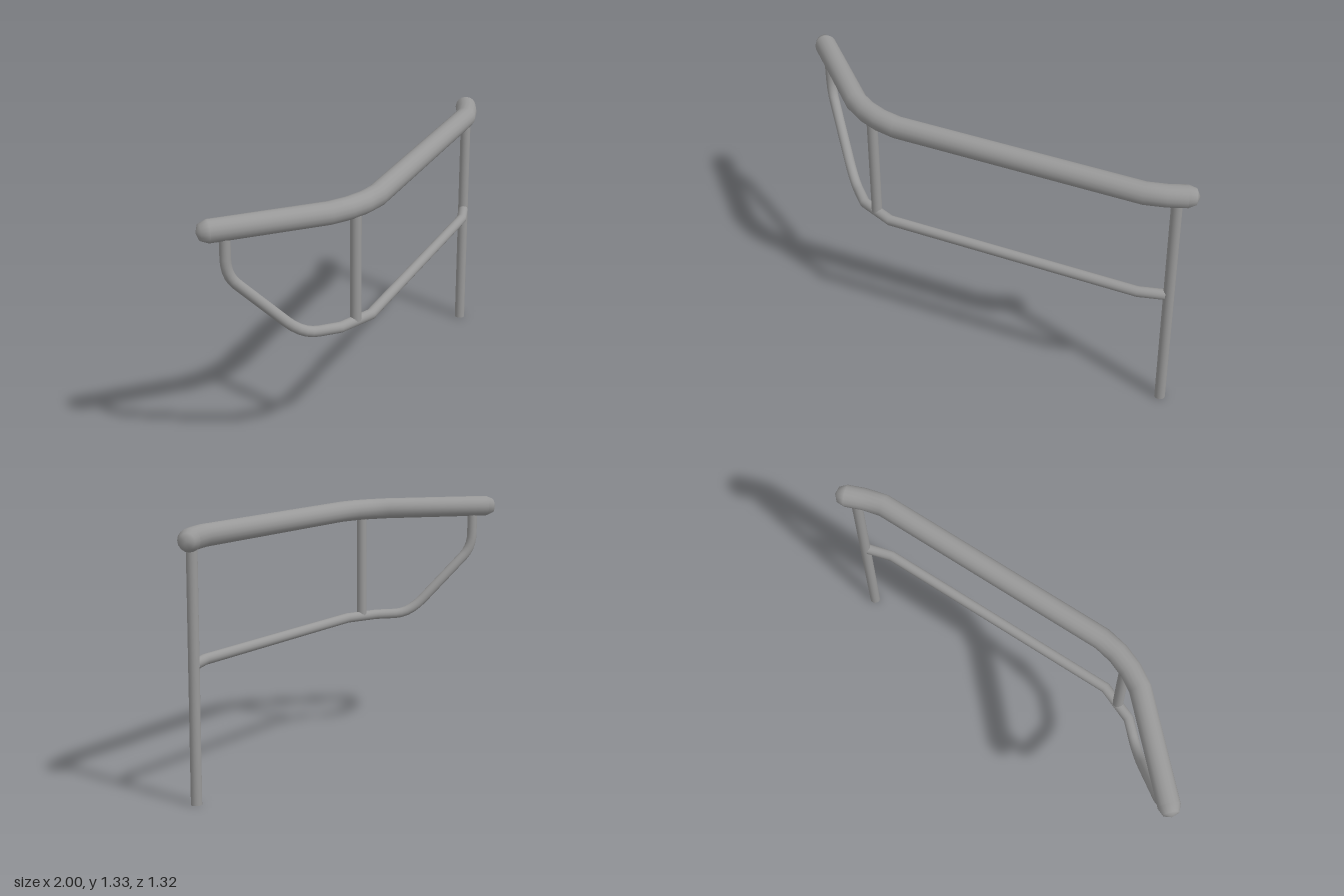
import * as THREE from 'three';

const material = new THREE.MeshStandardMaterial({ color: 0x999999 });
const V = (x, y, z) => new THREE.Vector3(x, y, z);

// Round pipe swept along a polyline, mitred at every bend
function pipe(name, points, radius, sides = 16) {
  const dirs = points.slice(1).map((p, i) => p.clone().sub(points[i]).normalize());
  const helper = Math.abs(dirs[0].y) > 0.9 ? V(1, 0, 0) : V(0, 1, 0);
  const u = helper.cross(dirs[0]).normalize();
  const w = dirs[0].clone().cross(u);
  let ring = [];
  for (let j = 0; j < sides; j++) {
    const a = (j / sides) * Math.PI * 2;
    ring.push(points[0].clone().addScaledVector(u, radius * Math.cos(a)).addScaledVector(w, radius * Math.sin(a)));
  }
  const pos = ring.flatMap((p) => p.toArray());
  const index = [];
  for (let i = 1; i < points.length; i++) {
    // Slide the ring along its segment onto the plane that halves the bend
    const d = dirs[i - 1];
    const n = d.clone().add(dirs[i] ?? d).normalize();
    ring = ring.map((p) => p.clone().addScaledVector(d, points[i].clone().sub(p).dot(n) / d.dot(n)));
    ring.forEach((p) => pos.push(p.x, p.y, p.z));
    for (let j = 0; j < sides; j++) {
      const a = (i - 1) * sides + j, b = (i - 1) * sides + ((j + 1) % sides);
      index.push(a, b, b + sides, a, b + sides, a + sides);
    }
  }
  const geometry = new THREE.BufferGeometry();
  geometry.setAttribute('position', new THREE.Float32BufferAttribute(pos, 3));
  geometry.setIndex(index);
  geometry.computeVertexNormals();
  const mesh = new THREE.Mesh(geometry, material);
  mesh.name = name;
  return mesh;
}

// Coarse dome closing a pipe at point p, facing away from point inner
function dome(name, p, inner, radius) {
  const mesh = new THREE.Mesh(new THREE.SphereGeometry(radius, 16, 2, 0, Math.PI * 2, 0, Math.PI / 2), material);
  mesh.position.copy(p);
  mesh.quaternion.setFromUnitVectors(V(0, 1, 0), p.clone().sub(inner).normalize());
  mesh.name = name;
  return mesh;
}

function post(name, x, z, bottom, top, radius) {
  const mesh = new THREE.Mesh(new THREE.CylinderGeometry(radius, radius, top - bottom, 16), material);
  mesh.position.set(x, (bottom + top) / 2, z);
  mesh.name = name;
  return mesh;
}

export function createModel() {
  const group = new THREE.Group();
  group.name = 'handrail';

  // Thick top rail: straight, 45 degree run, then a slight turn at the end
  const railY = 1.278, railR = 0.056;
  const railPath = [
    [-0.945, 0.606], [-0.355, 0.606], [-0.25, 0.583], [-0.155, 0.543], [-0.065, 0.484],
    [0.853, -0.432], [0.908, -0.523], [0.945, -0.61],
  ].map(([x, z]) => V(x, railY, z));
  group.add(pipe('topRail', railPath, railR));
  group.add(dome('railEndRight', railPath[0], railPath[1], railR));
  group.add(dome('railEndLeft', railPath.at(-1), railPath.at(-2), railR));

  // Thin lower rail: drops from the top rail, slopes in, then follows it to the post
  const z0 = 0.609;
  const bend = (a, c, b) =>
    new THREE.QuadraticBezierCurve3(V(...a, z0), V(...c, z0), V(...b, z0)).getPoints(5);
  group.add(pipe('lowerRail', [
    V(-0.866, 1.26, z0),
    ...bend([-0.866, 1.13], [-0.866, 1.045], [-0.815, 0.995]),
    ...bend([-0.578, 0.762], [-0.495, 0.68], [-0.41, 0.68]),
    V(-0.3, 0.68, z0), V(-0.11, 0.68, 0.53),
    V(0.852, 0.68, -0.432), V(0.92, 0.68, -0.55),
  ], 0.027));

  // Upright between the rails and the long post to the ground
  group.add(post('middleUpright', -0.206, 0.572, 0.685, 1.26, 0.0275));
  group.add(post('groundPost', 0.926, -0.565, 0, 1.26, 0.0275));
  return group;
}
